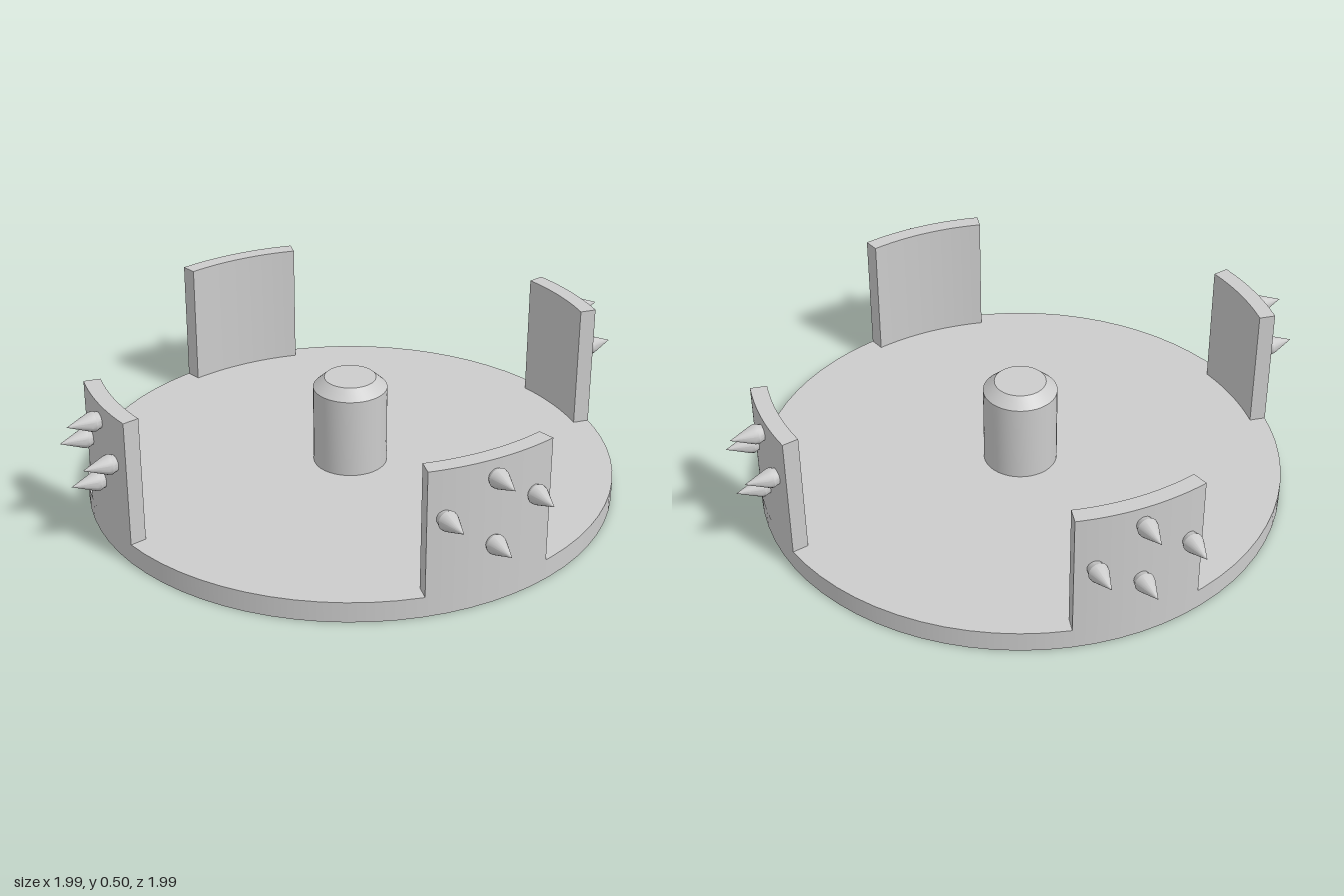
import * as THREE from 'three';
import { toCreasedNormals } from 'three/addons/utils/BufferGeometryUtils.js';

const material = new THREE.MeshStandardMaterial({ color: 0xcccccc });
const R = 0.89, INNER = 0.835, BASE = 0.07, TOP = 0.5;

function addMesh(parent, name, geometry) {
  const mesh = new THREE.Mesh(geometry, material);
  mesh.name = name;
  parent.add(mesh);
  return mesh;
}

// Smooth turned part with sharp rims
function lathe(points, segments) {
  const profile = points.map(([r, y]) => new THREE.Vector2(r, y));
  return toCreasedNormals(new THREE.LatheGeometry(profile, segments), 0.5);
}

// Curved upright plate, facing +x
function plateGeometry(halfAngle) {
  const shift = -0.0085;
  const shape = new THREE.Shape();
  shape.absarc(0, 0, R, shift - halfAngle, shift + halfAngle, false);
  shape.absarc(0, 0, INNER, shift + halfAngle, shift - halfAngle, true);
  shape.closePath();
  const geometry = new THREE.ExtrudeGeometry(shape, {
    depth: TOP - BASE, bevelEnabled: false, curveSegments: 12,
  });
  geometry.rotateX(-Math.PI / 2).translate(0, BASE, 0);
  return toCreasedNormals(geometry, 0.5);
}

// Spike along +x: narrow foot, swollen collar, sharp tip
function spikeGeometry() {
  const geometry = lathe([
    [0, -0.13], [0.022, -0.125], [0.028, -0.1], [0.033, -0.088], [0.031, -0.076], [0, 0],
  ], 20);
  return geometry.rotateZ(-Math.PI / 2);
}

export function createModel() {
  const model = new THREE.Group();
  model.name = 'spikedHolder';

  // Round base
  const disc = addMesh(model, 'baseDisc', new THREE.CylinderGeometry(R, R, BASE, 72));
  disc.position.y = BASE / 2;

  // Centre post with chamfered top
  addMesh(model, 'centrePost', lathe([
    [0.125, BASE], [0.125, 0.345], [0.087, 0.38], [0, 0.38],
  ], 40));

  // Four plates, each with four spikes: [sideways, height, tip radius]
  const spike = spikeGeometry();
  const sideSpikes = [[0.01, 0.44, 0.997], [0.01, 0.228, 0.997], [0.11, 0.333, 0.99], [-0.088, 0.333, 0.99]];
  const plates = [
    { name: 'left', turn: 0, half: 0.187, spikes: sideSpikes },
    { name: 'right', turn: Math.PI, half: 0.187, spikes: sideSpikes },
    { name: 'front', turn: -Math.PI / 2, half: 0.247,
      spikes: [[0.006, 0.44, 0.99], [0.006, 0.213, 0.99], [0.172, 0.338, 0.98], [-0.144, 0.338, 0.98]] },
    { name: 'back', turn: Math.PI / 2, half: 0.247,
      spikes: [[0.01, 0.44, 0.997], [0.01, 0.226, 0.997], [0.162, 0.312, 0.985], [-0.158, 0.312, 0.985]] },
  ];
  for (const { name, turn, half, spikes } of plates) {
    const group = new THREE.Group();
    group.name = name + 'Wall';
    group.rotation.y = turn;
    addMesh(group, name + 'Plate', plateGeometry(half));
    for (const [side, height, tip] of spikes) {
      addMesh(group, name + 'Spike', spike).position.set(tip, height, side);
    }
    model.add(group);
  }
  return model;
}
